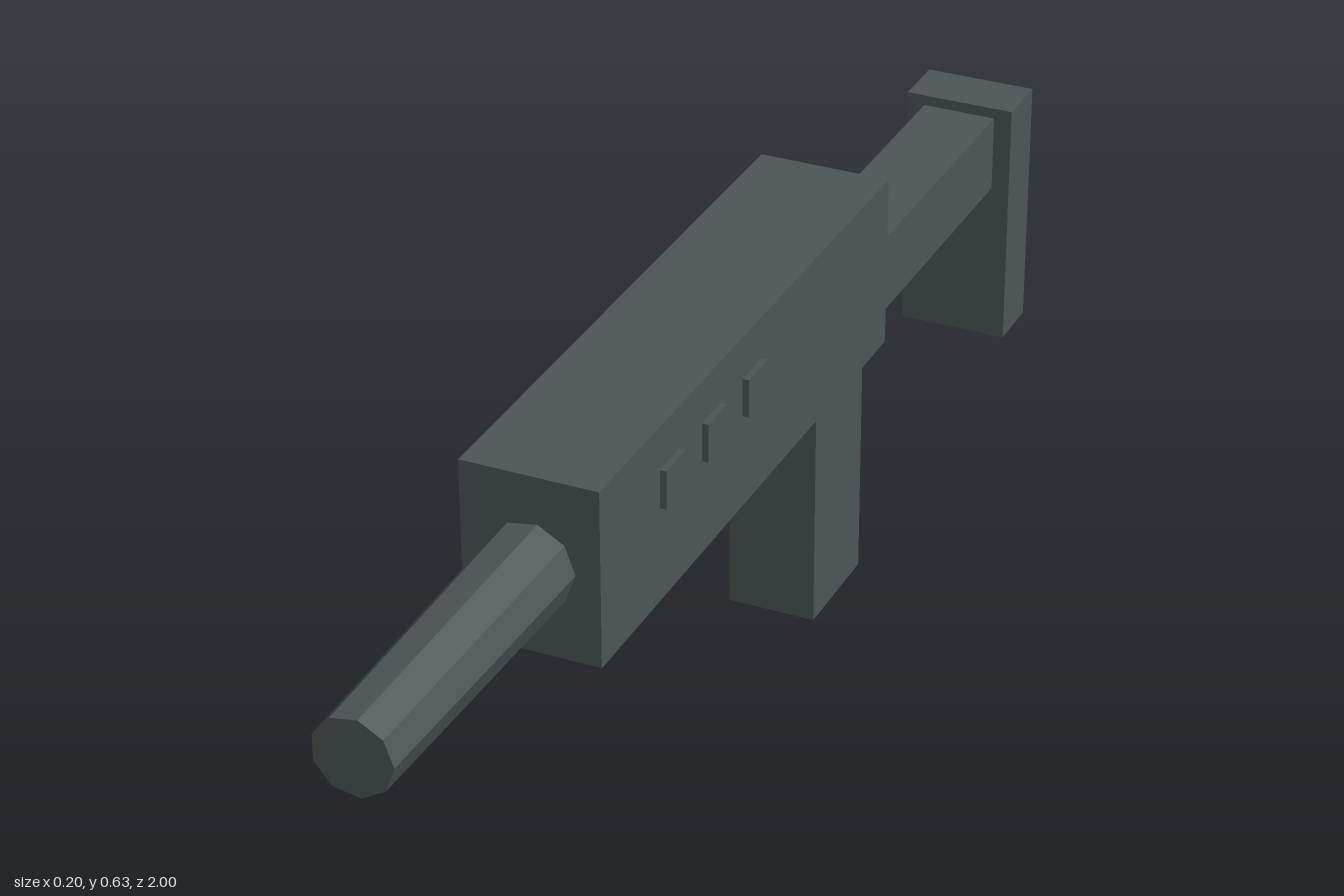
import * as THREE from 'three';

export function createModel() {
  const group = new THREE.Group();
  const gunmetal = new THREE.MeshStandardMaterial({ color: 0x4d5557 });
  gunmetal.name = 'gunmetal';
  gunmetal.flatShading = true;
  const axisX = -0.0055; // shared centre line

  const add = (name, geometry, x, y, z) => {
    const mesh = new THREE.Mesh(geometry, gunmetal);
    mesh.name = name;
    mesh.position.set(x, y, z);
    group.add(mesh);
  };

  // Box given by its width, and its extents in y and z
  const block = (name, width, y0, y1, z0, z1, x = axisX) =>
    add(name, new THREE.BoxGeometry(width, y1 - y0, z1 - z0), x, (y0 + y1) / 2, (z0 + z1) / 2);

  block('body', 0.193, 0.375, 0.631, -0.39, 0.537);
  block('grip', 0.132, 0, 0.375, -0.382, -0.215);
  block('stockBar', 0.113, 0.369, 0.486, -0.912, -0.414);
  block('buttPlate', 0.168, 0.117, 0.502, -1, -0.912);

  // Nine-sided barrel, tapering towards the muzzle
  const barrel = new THREE.CylinderGeometry(0.0555, 0.0624, 0.463, 9, 1, false, Math.PI / 2);
  barrel.rotateX(Math.PI / 2);
  add('barrel', barrel, axisX, 0.502, 0.7685);

  // Row of square buttons on the left side
  for (const z of [0.077, 0.205, 0.333]) {
    block('sideButton', 0.012, 0.513, 0.569, z - 0.03, z + 0.03, 0.094);
  }

  return group;
}
